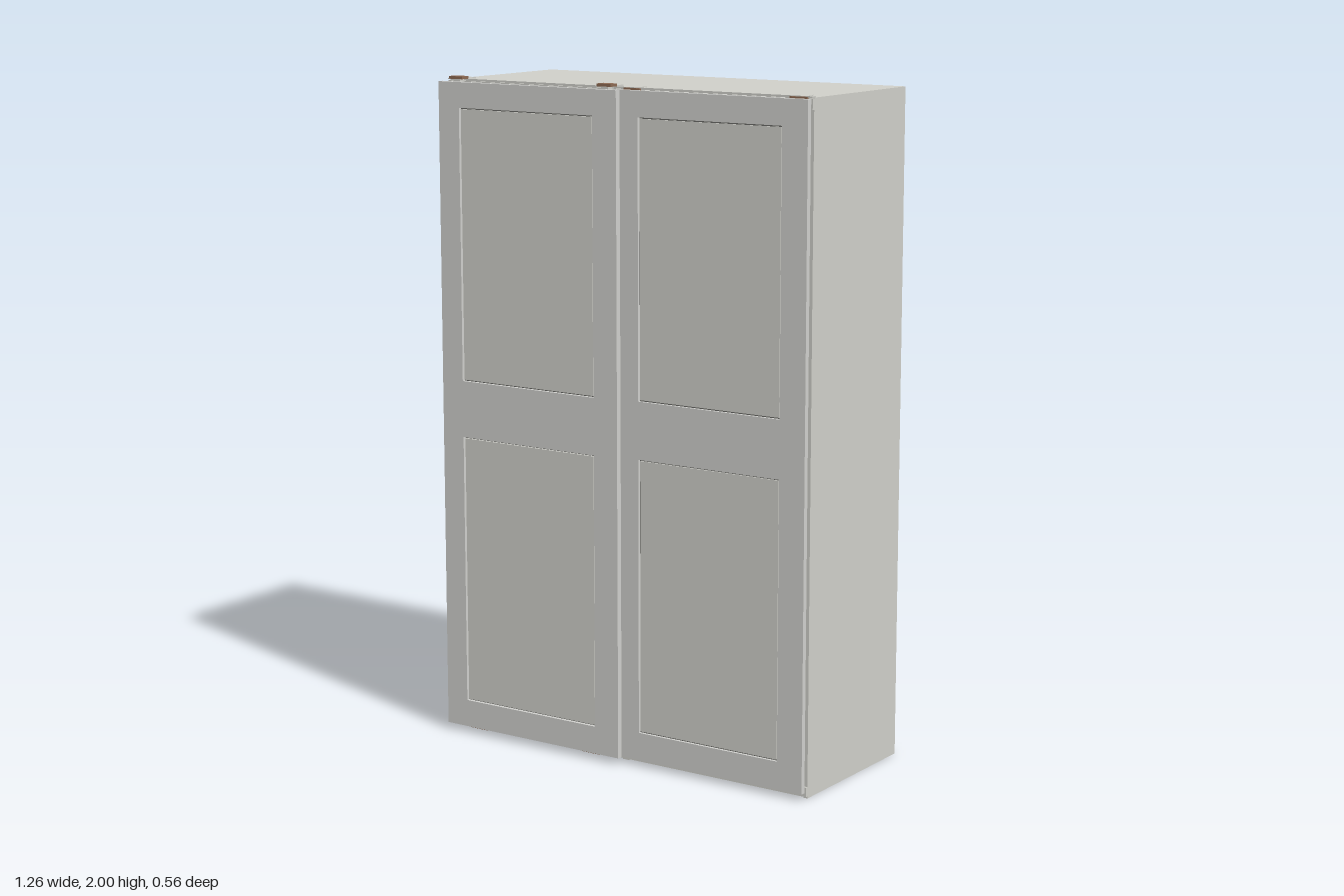
import * as THREE from 'three';

const mat = (name, color) => {
  const m = new THREE.MeshStandardMaterial({ color });
  m.name = name;
  return m;
};

export function createModel() {
  const model = new THREE.Group();
  model.name = 'slidingDoorWardrobe';
  const paint = mat('warm grey paint', 0xd0d0ca);
  const doorPaint = mat('door frame paint', 0xd0d0cd);
  const brown = mat('brown board', 0x8c6a53);
  const shadowGap = mat('dark groove', 0x6a6a66);

  // Box given by its limits on each axis
  const box = (name, material, x0, x1, y0, y1, z0, z1, parent = model) => {
    const mesh = new THREE.Mesh(new THREE.BoxGeometry(x1 - x0, y1 - y0, z1 - z0), material);
    mesh.position.set((x0 + x1) / 2, (y0 + y1) / 2, (z0 + z1) / 2);
    mesh.name = name;
    parent.add(mesh);
    return mesh;
  };

  // Two cabinets side by side
  const W = 0.63, H = 1.988, T = 0.012, BACK = -0.28, FRONT = 0.22;
  for (const x0 of [-W, 0]) {
    const cabinet = new THREE.Group();
    cabinet.name = x0 < 0 ? 'rightCabinet' : 'leftCabinet';
    model.add(cabinet);
    const a = x0 + T, b = x0 + W - T;
    box('sidePanel', paint, x0, a, 0, H, BACK, FRONT, cabinet);
    box('sidePanel', paint, b, x0 + W, 0, H, BACK, FRONT, cabinet);
    box('topPanel', paint, a, b, H - T, H, BACK, FRONT, cabinet);
    box('bottomPanel', paint, a, b, 0.052, 0.064, BACK, FRONT, cabinet);
    box('backPanel', brown, a, b, 0.064, H - T, BACK + 0.004, BACK + 0.009, cabinet);
    box('backPlinth', paint, a, b, 0.004, 0.052, BACK + 0.012, BACK + 0.024, cabinet);
    box('frontPlinth', paint, a, b, 0.004, 0.052, FRONT - 0.016, FRONT - 0.004, cabinet);
  }

  // Sliding rails along the top and bottom front edges
  box('topRail', paint, -W, W, 1.955, 1.985, FRONT, 0.228);
  box('topRailLip', paint, -W, W, 1.988, 1.992, 0.212, 0.23);
  box('bottomRail', paint, -W, W, 0.006, 0.034, FRONT, 0.228);

  // Panelled door: frame with two openings, groove behind and inset panels
  const Y0 = 0.02, Y1 = 1.985;
  const addDoor = (name, x0, x1, p0, p1, z0, z1) => {
    const door = new THREE.Group();
    door.name = name;
    model.add(door);
    const rect = (P, l, r, d, u) => {
      const s = new P();
      s.moveTo(l, d);
      s.lineTo(r, d);
      s.lineTo(r, u);
      s.lineTo(l, u);
      s.closePath();
      return s;
    };
    const openings = [[0.103, 0.924], [1.095, 1.91]];
    const shape = rect(THREE.Shape, x0, x1, Y0, Y1);
    openings.forEach(([d, u]) => shape.holes.push(rect(THREE.Path, p0, p1, d, u)));
    const frame = new THREE.Mesh(
      new THREE.ExtrudeGeometry(shape, { depth: z1 - z0, bevelEnabled: false }), doorPaint);
    frame.position.z = z0;
    frame.name = 'doorFrame';
    door.add(frame);
    for (const [d, u] of openings) {
      box('panelGroove', shadowGap, p0, p1, d, u, z0 + 0.004, z0 + 0.007, door);
      const g = 0.004;
      box('doorPanel', paint, p0 + g, p1 - g, d + g, u - g, z0 + 0.001, z1 - 0.004, door);
    }
  };
  addDoor('outerDoor', -W, 0.01, -0.555, -0.073, 0.258, 0.276);
  addDoor('innerDoor', -0.012, W, 0.068, 0.547, 0.236, 0.252);

  // Hangers that carry the outer door on the top rail
  for (const x of [-0.58, -0.045]) {
    box('topHangerPlate', brown, x - 0.024, x + 0.024, 1.992, 2.0, 0.226, 0.258);
    box('topHangerArm', paint, x - 0.014, x + 0.01, 1.96, 1.996, 0.222, 0.25);
    box('topHangerTongue', paint, x - 0.014, x + 0.014, 1.988, 1.994, 0.18, 0.226);
  }
  // Slim hangers of the inner door
  for (const x of [0.036, 0.588]) {
    box('innerHanger', brown, x - 0.028, x + 0.028, 1.965, 1.99, 0.228, 0.236);
    box('innerHangerTongue', paint, x - 0.014, x + 0.014, 1.988, 1.992, 0.18, 0.228);
  }
  // Guides under the outer door
  for (const x of [-0.523, -0.102]) {
    box('bottomGuide', brown, x - 0.033, x + 0.033, 0.012, 0.05, 0.228, 0.258);
  }
  return model;
}
